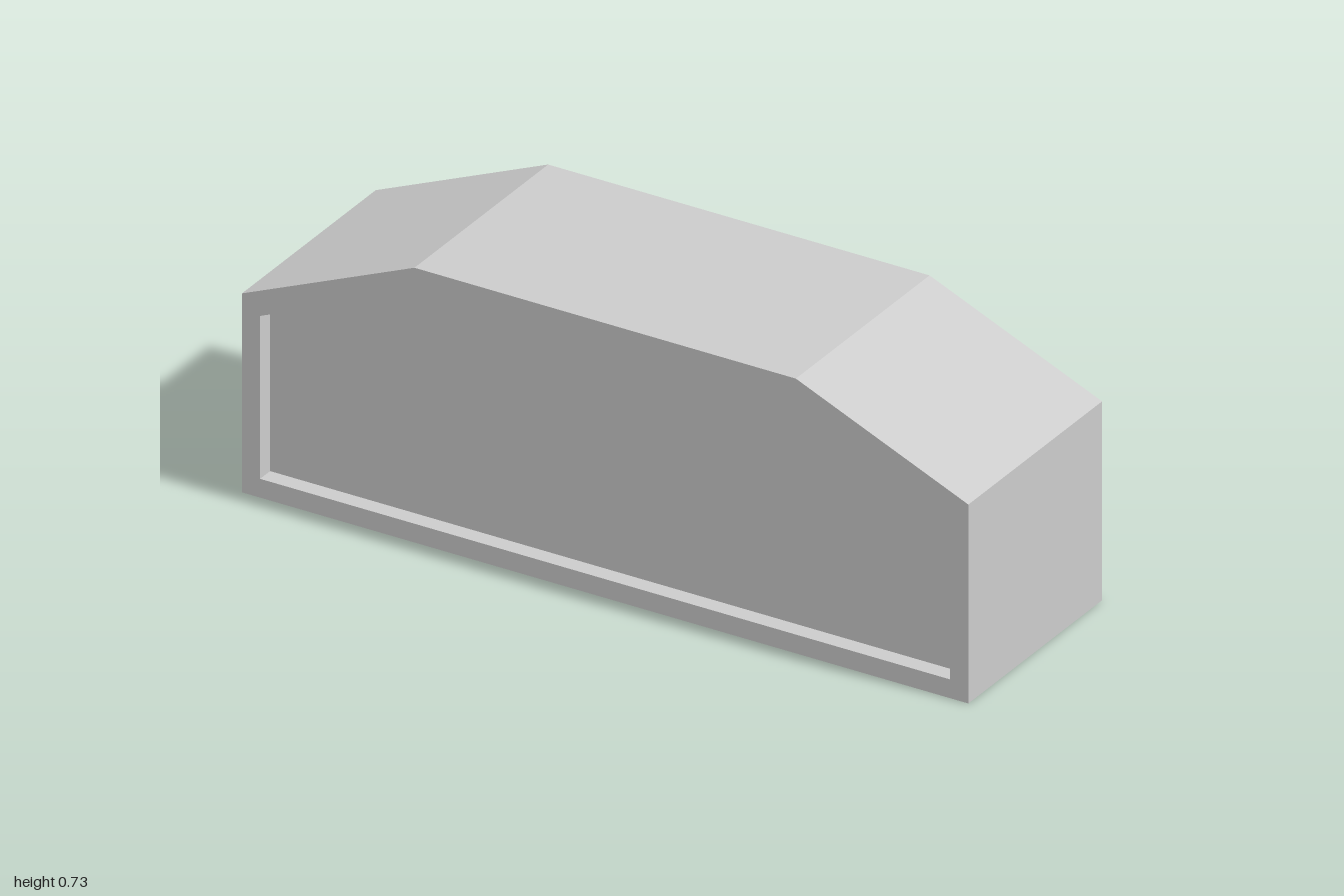
import * as THREE from 'three';

const DEPTH = 0.6;

// Symmetric arched-top outline, counter-clockwise
function outline(halfWidth, bottom, shoulder, topHalf, top) {
  return [
    [-halfWidth, bottom], [halfWidth, bottom], [halfWidth, shoulder],
    [topHalf, top], [-topHalf, top], [-halfWidth, shoulder],
  ].map(([x, y]) => new THREE.Vector2(x, y));
}

export function createModel() {
  const group = new THREE.Group();
  const outer = outline(1, 0, 0.53, 0.525, 0.732);
  const inner = outline(0.95, 0.05, 0.484, 0.48, 0.685);

  // Hollow surround: floor, side walls and sloped roof
  const frameShape = new THREE.Shape(outer);
  frameShape.holes.push(new THREE.Path(inner));
  const frameGeometry = new THREE.ExtrudeGeometry(frameShape, { depth: DEPTH, bevelEnabled: false });
  frameGeometry.translate(0, 0, -DEPTH / 2);
  const frame = new THREE.Mesh(
    frameGeometry,
    new THREE.MeshStandardMaterial({ color: 0xcccccc, flatShading: true }),
  );
  frame.name = 'frame';
  group.add(frame);

  // Thin panel set slightly back from the front; the rear stays open
  const panel = new THREE.Mesh(
    new THREE.ShapeGeometry(new THREE.Shape(inner)),
    new THREE.MeshStandardMaterial({ color: 0xcccccc, flatShading: true, side: THREE.DoubleSide }),
  );
  panel.name = 'frontPanel';
  panel.position.z = 0.255;
  group.add(panel);

  return group;
}
